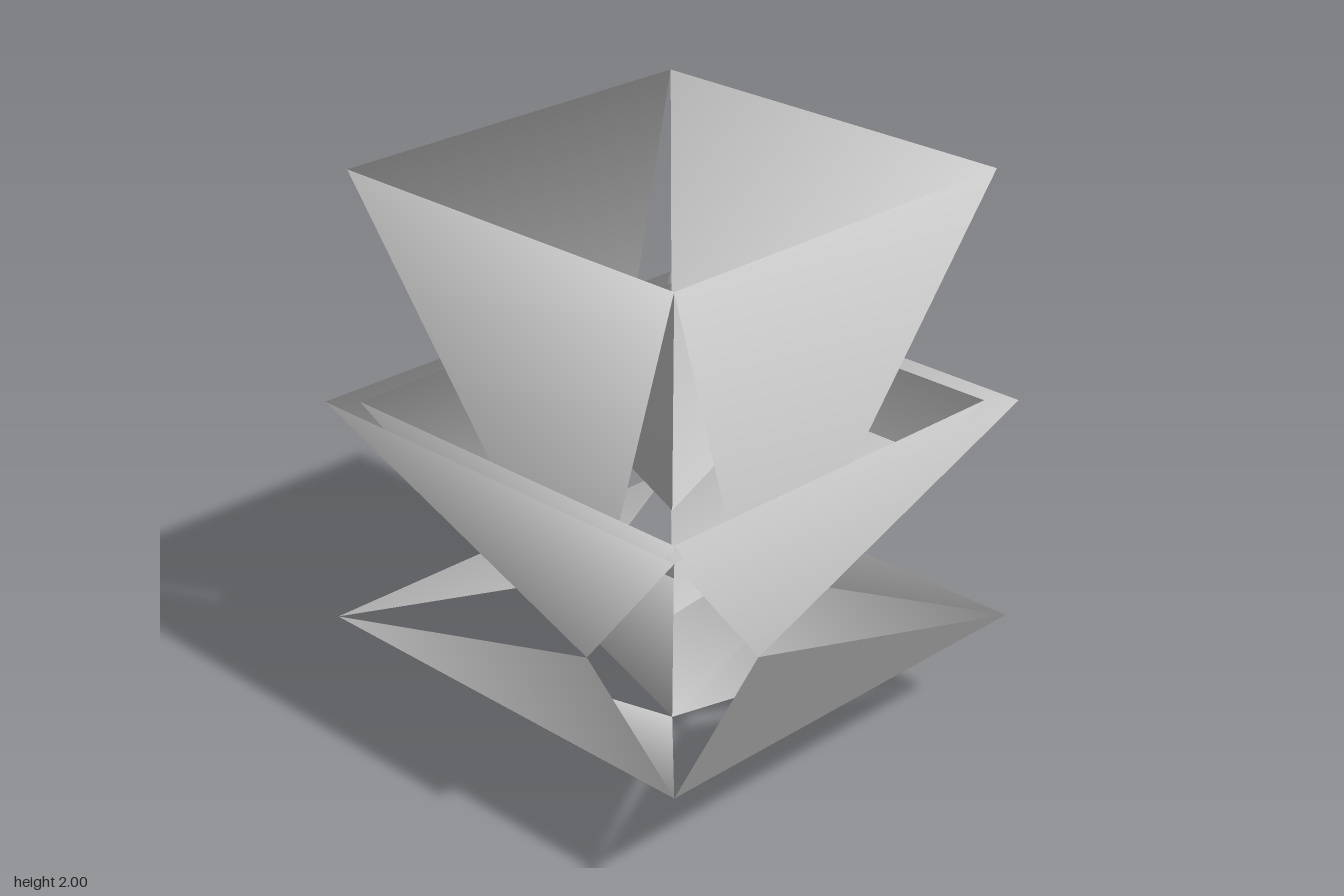
import * as THREE from 'three';

const material = new THREE.MeshStandardMaterial({ color: 0xcccccc, side: THREE.DoubleSide });
const HUB = new THREE.Vector3(0, 0.4, 0);

// One triangular petal: a level rim edge facing +z, running down to a tip on the centre plane.
// Its normals fan out from the hub, so the shading sweeps softly across each petal.
function petal(name, half, rimY, tipY, tipZ, angle) {
  const corners = [
    new THREE.Vector3(-half, rimY, half),
    new THREE.Vector3(0, tipY, tipZ),
    new THREE.Vector3(half, rimY, half),
  ];
  const normals = corners.flatMap((corner) => {
    const normal = corner.clone().sub(HUB);
    if (normal.length() < 1e-6) normal.set(0, 1, 0); // a tip on the hub itself points up
    return normal.normalize().toArray();
  });
  const geometry = new THREE.BufferGeometry().setFromPoints(corners);
  geometry.setAttribute('normal', new THREE.Float32BufferAttribute(normals, 3));
  const mesh = new THREE.Mesh(geometry, material);
  mesh.name = name;
  mesh.rotation.y = angle;
  return mesh;
}

export function createModel() {
  const model = new THREE.Group();
  model.name = 'petalTower';

  // Square rims, each with the height at which its linings meet on the centre line
  const tiers = [
    { name: 'upper', half: 0.72, rimY: 2, liningY: 0.8 },
    { name: 'middle', half: 0.8, rimY: 1.2, liningY: 0.4 },
    { name: 'inner', half: 0.72, rimY: 1.2, liningY: 0 },
    { name: 'base', half: 0.8, rimY: 0.4, liningY: 0 },
  ];
  for (const { name, half, rimY, liningY } of tiers) {
    const tier = new THREE.Group();
    tier.name = `${name}Tier`;
    // Four outer petals; every tier shares the same four tips
    for (let i = 0; i < 4; i++) {
      tier.add(petal(`${name}Petal`, half, rimY, 0.4, 0.4, i * Math.PI / 2));
    }
    // Front and back linings running in to the centre line
    for (const angle of [0, Math.PI]) {
      tier.add(petal(`${name}Lining`, half, rimY, liningY, 0, angle));
    }
    model.add(tier);
  }
  return model;
}
